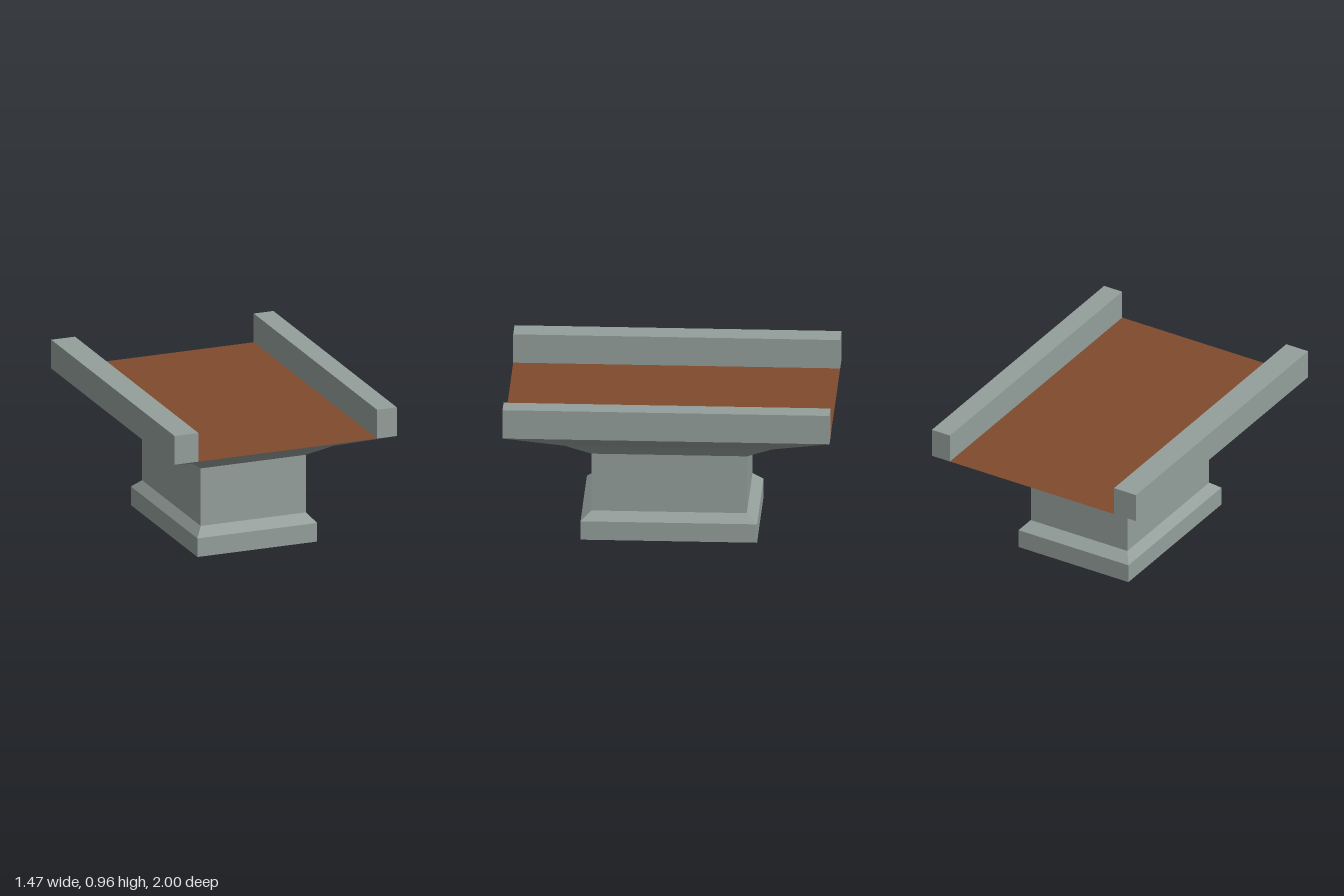
import * as THREE from 'three';

const stone = new THREE.MeshStandardMaterial({ color: 0x949f9b });
stone.name = 'greyStone';
const earth = new THREE.MeshStandardMaterial({ color: 0x804b2d });
earth.name = 'brownDeck';

// Rectangular sections [halfWidth, halfDepth, y], bottom to top, joined by flat walls
function loft(sections, capBottom = false) {
  const pos = [];
  const ring = ([w, d, y]) => [[-w, y, d], [w, y, d], [w, y, -d], [-w, y, -d]];
  const quad = (a, b, c, d) => pos.push(...a, ...b, ...c, ...a, ...c, ...d);
  for (let i = 0; i < sections.length - 1; i++) {
    const lo = ring(sections[i]), hi = ring(sections[i + 1]);
    for (let j = 0; j < 4; j++) {
      const k = (j + 1) % 4;
      quad(lo[j], lo[k], hi[k], hi[j]);
    }
  }
  if (capBottom) {
    const [a, b, c, d] = ring(sections[0]);
    quad(d, c, b, a);
  }
  const geo = new THREE.BufferGeometry();
  geo.setAttribute('position', new THREE.Float32BufferAttribute(pos, 3));
  geo.computeVertexNormals();
  return geo;
}

export function createModel() {
  const group = new THREE.Group();
  group.name = 'bridgePier';
  const add = (name, geo, mat, x = 0, y = 0, z = 0) => {
    const mesh = new THREE.Mesh(geo, mat);
    mesh.name = name;
    mesh.position.set(x, y, z);
    group.add(mesh);
  };

  const deckY = 0.78, top = 0.965, halfW = 0.733;

  // Plinth with a sloped shoulder
  add('plinth', loft([[0.395, 0.54, 0], [0.395, 0.54, 0.12], [0.347, 0.475, 0.174]], true), stone);
  // Straight shaft
  add('shaft', loft([[0.347, 0.475, 0.174], [0.347, 0.475, 0.545]]), stone);
  // Two-stage flare up to the deck edge
  add('flare', loft([[0.347, 0.475, 0.545], [0.465, 0.635, 0.638], [halfW, 1, deckY]]), stone);

  // Parapets, the right one slightly thicker
  const inner = { right: -0.576, left: 0.603 };
  for (const [side, x] of Object.entries(inner)) {
    const width = halfW - Math.abs(x);
    add(side + 'Parapet', new THREE.BoxGeometry(width, top - deckY, 2), stone,
      Math.sign(x) * (halfW - width / 2), (top + deckY) / 2);
  }

  // Road surface between the parapets
  const deck = new THREE.PlaneGeometry(inner.left - inner.right, 2).rotateX(-Math.PI / 2);
  add('roadDeck', deck, earth, (inner.left + inner.right) / 2, deckY);

  return group;
}
